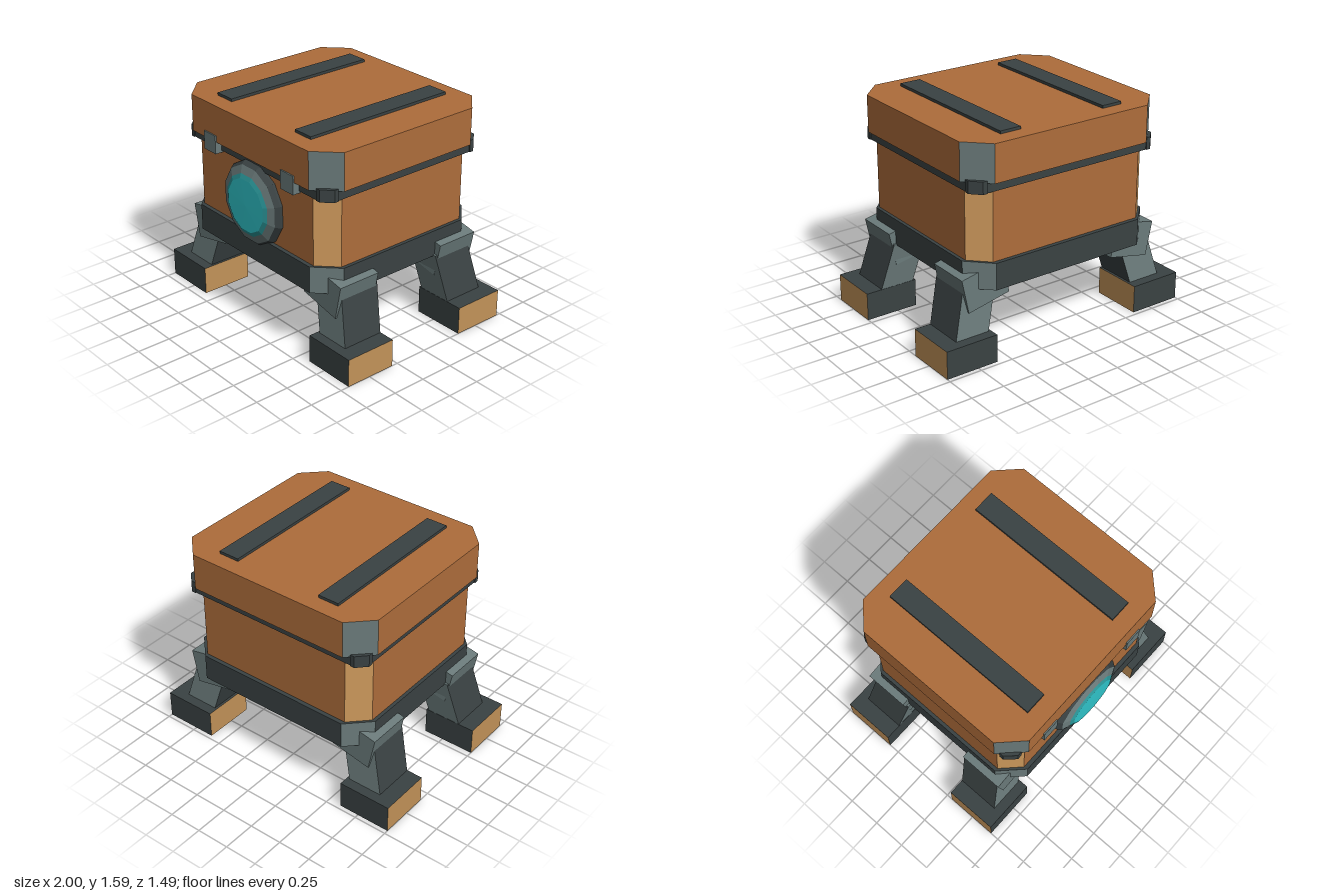
import * as THREE from 'three';

const mat = (name, color) => {
  const m = new THREE.MeshStandardMaterial({ color });
  m.name = name;
  return m;
};

const Z0 = -0.0175; // depth centre of the chest

export function createModel() {
  const orange = mat('orange wood', 0xae6d3b);
  const tan = mat('tan corner', 0xd09b5d);
  const footTan = mat('tan foot side', 0xc39359);
  const grey = mat('grey metal', 0x6b7b7b);
  const dark = mat('dark metal', 0x3a4243);
  const teal = mat('bright teal', 0x2fc4ca);
  const deepTeal = mat('deep teal', 0x2a9699);

  const model = new THREE.Group();
  const add = (name, geo, material, parent = model) => {
    const mesh = new THREE.Mesh(geo, material);
    mesh.name = name;
    parent.add(mesh);
    return mesh;
  };

  // Flat-shade a geometry and give each face material 0 or 1 by its normal
  const paint = (geo, rule) => {
    const flat = geo.index ? geo.toNonIndexed() : geo;
    flat.computeVertexNormals();
    flat.clearGroups();
    const n = flat.attributes.normal;
    if (rule) {
      for (let i = 0; i < n.count; i += 3) {
        flat.addGroup(i, 3, rule(n.getX(i), n.getY(i), n.getZ(i)) ? 1 : 0);
      }
    }
    return flat;
  };
  const isCorner = (x, y, z) => Math.abs(x) > 0.3 && Math.abs(z) > 0.3;
  const isSide = (x) => Math.abs(x) > 0.8;

  // Upright block with cut corners
  const cutBlock = (hx, hz, cut, y0, y1) => {
    const pts = [
      [hx, hz - cut], [hx - cut, hz], [cut - hx, hz], [-hx, hz - cut],
      [-hx, cut - hz], [cut - hx, -hz], [hx - cut, -hz], [hx, cut - hz],
    ].map(([x, y]) => new THREE.Vector2(x, y));
    const geo = new THREE.ExtrudeGeometry(new THREE.Shape(pts), { depth: y1 - y0, bevelEnabled: false });
    geo.rotateX(-Math.PI / 2).translate(0, y0, Z0);
    return paint(geo, isCorner);
  };

  // Chest
  add('base', cutBlock(0.765, 0.7025, 0.16, 0.535, 0.73), [dark, grey]);
  add('body', cutBlock(0.74, 0.6725, 0.13, 0.73, 1.235), [orange, tan]);
  add('rimBand', cutBlock(0.757, 0.685, 0.07, 1.23, 1.301), [dark, dark]);
  add('lid', cutBlock(0.79, 0.7255, 0.16, 1.3, 1.57), [orange, grey]);

  // Raised corner caps on the rim band
  for (const sx of [-1, 1]) {
    for (const sz of [-1, 1]) {
      let pts = [[0.66, 0.58], [0.765, 0.59], [0.765, 0.622], [0.698, 0.692], [0.665, 0.692]]
        .map(([x, z]) => new THREE.Vector2(sx * x, -sz * z));
      if (sx * sz > 0) pts = pts.reverse();
      const geo = new THREE.ExtrudeGeometry(new THREE.Shape(pts), { depth: 0.088, bevelEnabled: false });
      geo.rotateX(-Math.PI / 2).translate(0, 1.23, Z0);
      add('rimCorner', paint(geo), dark);
    }
  }

  // Lid straps and front clasps
  for (const s of [-1, 1]) {
    add('lidStrap', new THREE.BoxGeometry(0.16, 0.03, 1.2), dark).position.set(s * 0.42, 1.575, -0.02);
    add('clasp', new THREE.BoxGeometry(0.13, 0.135, 0.07), grey).position.set(s * 0.42, 1.2825, 0.683);
  }

  // Twelve-sided porthole, turned to face the front
  const porthole = new THREE.Group();
  porthole.name = 'porthole';
  porthole.position.set(0, 0.965, 0);
  model.add(porthole);
  const ring = (name, profile, material) => {
    const pts = profile.map(([r, z]) => new THREE.Vector2(r, z));
    const geo = new THREE.LatheGeometry(pts, 12, Math.PI / 12);
    add(name, paint(geo.rotateX(Math.PI / 2)), material, porthole);
  };
  ring('portholeRim', [[0.305, 0.64], [0.305, 0.672], [0.282, 0.706]], dark);
  ring('portholeRing', [[0.282, 0.706], [0.226, 0.728]], grey);
  ring('lensEdge', [[0.226, 0.728], [0.195, 0.742]], deepTeal);
  ring('lens', [[0.195, 0.742], [0, 0.744]], teal);

  // Four legs: tilted hip, leaning shin and square foot
  for (const sx of [-1, 1]) {
    for (const sz of [-1, 1]) {
      const leg = new THREE.Group();
      leg.name = (sz > 0 ? 'front' : 'back') + (sx > 0 ? 'LeftLeg' : 'RightLeg');
      model.add(leg);

      const hip = add('hip', new THREE.BoxGeometry(0.332, 0.256, 0.33), grey, leg);
      hip.position.set(sx * 0.63, 0.5375, sz * 0.4525 + Z0);
      hip.rotation.z = -sx * 0.205;

      const shin = new THREE.BoxGeometry(0.26, 0.345, 0.313).translate(0, 0.1725, 0);
      const p = shin.attributes.position;
      for (let i = 0; i < p.count; i++) {
        const y = p.getY(i);
        p.setX(i, p.getX(i) - sx * 0.262 * y);
        p.setZ(i, p.getZ(i) - sz * 0.13 * y);
      }
      shin.translate(sx * 0.75, 0.2, sz * 0.4725 + Z0);
      add('shin', paint(shin, isSide), [grey, dark], leg);

      const foot = paint(new THREE.BoxGeometry(0.4, 0.205, 0.388), isSide);
      add('foot', foot, [dark, footTan], leg).position.set(sx * 0.8, 0.1025, sz * 0.5075 + Z0);
    }
  }
  return model;
}
